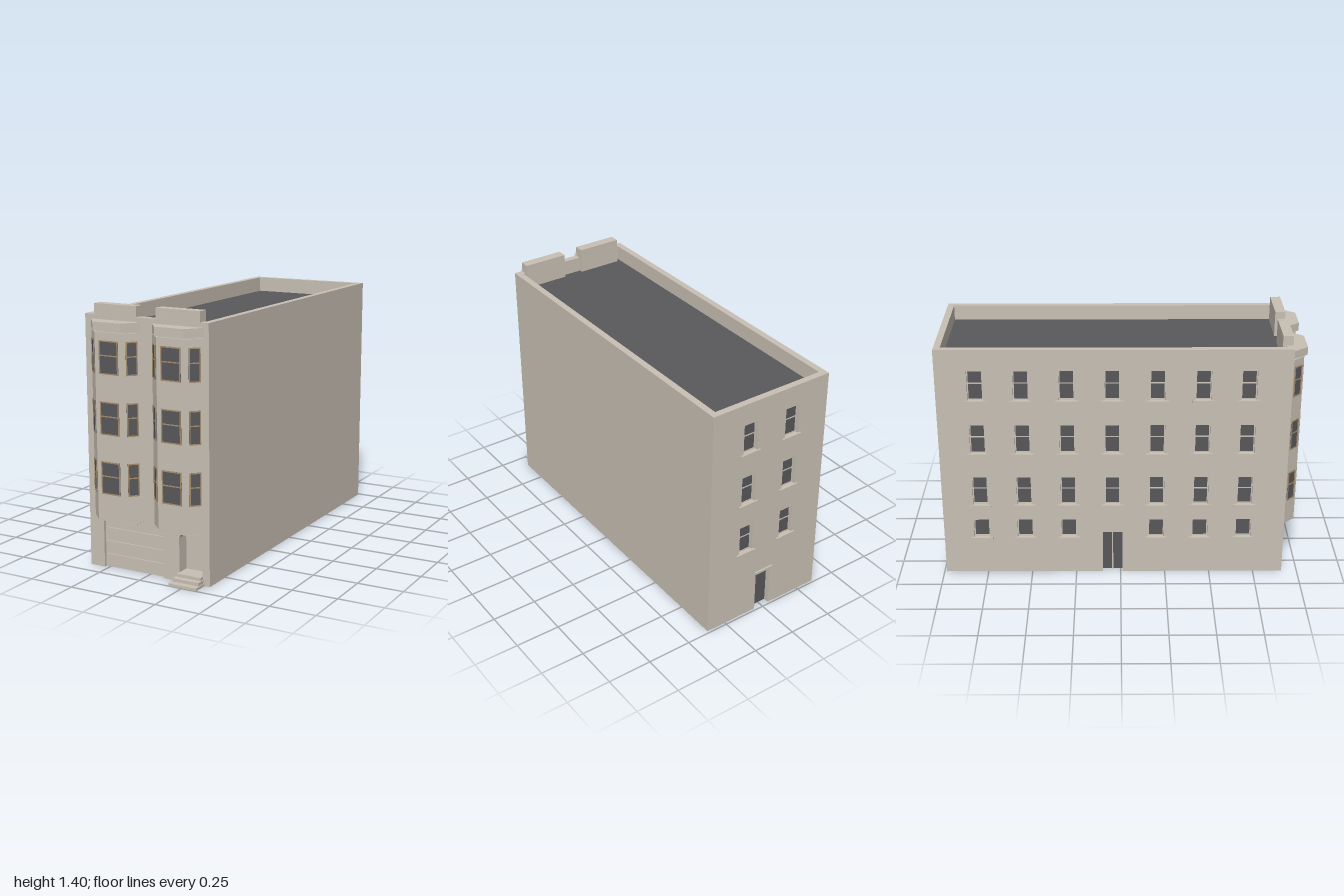
import * as THREE from 'three';

const mat = (name, color) => Object.assign(new THREE.MeshStandardMaterial({ color }), { name });

export function createModel() {
  const stone = mat('stone', 0xc8c0b4);
  const roofGrey = mat('roof grey', 0x59595c);
  const glass = mat('glass', 0x58585b);
  const tan = mat('tan frame', 0xa68d6c);

  const model = new THREE.Group();
  model.name = 'townhouse';
  const X0 = -0.362, X1 = 0.366, Z0 = -0.987, Z1 = 0.913;
  const H = 1.35, T = 0.036, SKIN = 0.022;
  const floors = [0.43, 0.745, 1.06]; // sill heights of the upper storeys

  const add = (parent, name, geo, material, x = 0, y = 0, z = 0) => {
    const m = new THREE.Mesh(geo, material);
    m.name = name;
    m.position.set(x, y, z);
    parent.add(m);
    return m;
  };
  // box given by its minimum and maximum corners
  const box = (parent, name, material, x0, x1, y0, y1, z0, z1) =>
    add(parent, name, new THREE.BoxGeometry(x1 - x0, y1 - y0, z1 - z0), material,
      (x0 + x1) / 2, (y0 + y1) / 2, (z0 + z1) / 2);
  const group = (name, parent = model) => {
    const g = new THREE.Group();
    g.name = name;
    parent.add(g);
    return g;
  };

  // wall sheet: u along the wall, y up, outer face at z = front; doors are notches
  function sheet(parent, name, u0, u1, doors, windows, front, depth) {
    const s = new THREE.Shape();
    s.moveTo(u0, 0);
    for (const d of doors) {
      const r = d.r || 0, b = d.y0 || 0;
      s.lineTo(d.u0, 0);
      s.lineTo(d.u0, d.top - r);
      if (r) s.absarc(d.u0 + r, d.top - r, r, Math.PI, Math.PI / 2, true);
      s.lineTo(d.u1 - r, d.top);
      if (r) s.absarc(d.u1 - r, d.top - r, r, Math.PI / 2, 0, true);
      s.lineTo(d.u1, b);
      s.lineTo(d.u1, 0);
    }
    s.lineTo(u1, 0);
    s.lineTo(u1, H);
    s.lineTo(u0, H);
    for (const w of windows) {
      const p = new THREE.Path();
      p.moveTo(w.u - w.w / 2, w.y);
      p.lineTo(w.u - w.w / 2, w.y + w.h);
      p.lineTo(w.u + w.w / 2, w.y + w.h);
      p.lineTo(w.u + w.w / 2, w.y);
      s.holes.push(p);
    }
    const geo = new THREE.ExtrudeGeometry(s, { depth, bevelEnabled: false, curveSegments: 6 });
    add(parent, name, geo, stone, 0, 0, front - depth);
  }

  // glazing with a border frame and an optional middle rail, on the plane z
  function sash(parent, u, y, w, h, z, frame, rail, f = 0.006) {
    const g = group('window', parent);
    g.position.set(u, y, z);
    box(g, 'windowGlass', glass, -w / 2, w / 2, 0, h, 0, 0.003);
    for (const s of [-1, 1]) {
      const a = s * w / 2, b = s * (w / 2 - f);
      box(g, 'frameStile', frame, Math.min(a, b), Math.max(a, b), 0, h, 0, 0.006);
    }
    const rails = rail ? [0, h * 0.54, h - f] : [0, h - f];
    for (const r of rails) box(g, 'frameRail', frame, -w / 2, w / 2, r, r + f, 0, 0.0055);
  }

  // a full wall: skin with openings, backing sheet, windows with sills
  function wall(name, angle, x, z, u0, u1, doors, windows) {
    const g = group(name);
    g.rotation.y = angle;
    g.position.set(x, 0, z);
    sheet(g, 'wallSkin', u0, u1, doors, windows, 0, SKIN);
    sheet(g, 'wallBacking', u0, u1, doors, [], -SKIN, T - SKIN);
    for (const w of windows) {
      sash(g, w.u, w.y, w.w, w.h, -SKIN, stone, w.rail);
      box(g, 'windowSill', stone, w.u - 0.06, w.u + 0.06, w.y - 0.013, w.y, -0.015, 0.01);
    }
    return g;
  }
  const upper = us => floors.flatMap(y => us.map(u => ({ u, y, w: 0.084, h: 0.17, rail: true })));

  // front wall with garage opening and arched entrance
  const front = wall('frontWall', 0, 0, Z1, X0, X1,
    [{ u0: -0.275, u1: 0.09, top: 0.292 }, { u0: 0.187, u1: 0.323, top: 0.262, r: 0.035 }], []);
  box(front, 'garageBacking', stone, -0.275, 0.09, 0, 0.292, -0.036, -0.024);
  for (let i = 0; i < 4; i++)
    box(front, 'garagePanel', stone, -0.275, 0.09, i * 0.073 + 0.001, i * 0.073 + 0.071, -0.024, -0.016);
  // entrance porch
  box(front, 'entranceDoor', stone, 0.187, 0.323, 0, 0.262, -0.085, -0.07);
  box(front, 'porchSide', stone, 0.175, 0.187, 0, 0.27, -0.085, -0.036);
  box(front, 'porchSide', stone, 0.323, 0.335, 0, 0.27, -0.085, -0.036);
  box(front, 'porchCeiling', stone, 0.175, 0.335, 0.262, 0.274, -0.085, -0.036);
  box(front, 'doorSidelight', glass, 0.311, 0.317, 0.05, 0.24, -0.07, -0.066);
  box(front, 'porchFloor', stone, 0.187, 0.323, 0, 0.048, -0.07, 0);
  // front steps
  [[0.172, 0.335, 0.014, 0.086], [0.177, 0.33, 0.032, 0.052], [0.185, 0.325, 0.049, 0.024]]
    .forEach(([a, b, top, out]) => box(front, 'frontStep', stone, a, b, 0, top, 0, out));

  // side wall with seven bays of windows and a door in the middle
  const zs = Array.from({ length: 7 }, (_, i) => -0.775 + i * 0.2433);
  const ground = zs.filter((_, i) => i !== 3).map(u => ({ u, y: 0.225, w: 0.088, h: 0.11 }));
  const side = wall('rightSideWall', -Math.PI / 2, X0, 0, Z0 + T, Z1 - T,
    [{ u0: -0.1, u1: 0.01, top: 0.255 }], [...upper(zs), ...ground]);
  box(side, 'sideDoor', glass, -0.1, 0.01, 0, 0.255, -T, -0.03);
  box(side, 'sideDoorPost', stone, -0.048, -0.042, 0, 0.255, -0.03, -0.026);

  // rear wall
  const rear = wall('rearWall', Math.PI, 0, Z0, -X1, -X0,
    [{ u0: -0.05, u1: 0.046, top: 0.245 }], upper([-0.13, 0.135]));
  box(rear, 'rearDoor', glass, -0.05, 0.046, 0, 0.245, -T, -0.03);
  box(rear, 'rearDoorLintel', stone, -0.06, 0.056, 0.245, 0.258, -0.01, 0.01);

  // blank party wall
  wall('leftSideWall', Math.PI / 2, X1, 0, -Z1 + T, -Z0 - T, [], []);

  // sunken roof and raised parapet blocks
  box(model, 'roof', roofGrey, X0 + T, X1 - T, 1.25, 1.265, Z0 + T, Z1 - T);
  for (const [a, b] of [[-0.306, -0.052], [0.062, 0.317]])
    box(model, 'parapetBlock', stone, a, b, 1.265, 1.405, 0.856, Z1 - 0.001);

  // bay windows
  const prism = (parent, name, pts, y0, y1) => {
    const geo = new THREE.ExtrudeGeometry(new THREE.Shape(pts.map(p => new THREE.Vector2(...p))),
      { depth: y1 - y0, bevelEnabled: false });
    geo.rotateX(Math.PI / 2);
    add(parent, name, geo, stone, 0, y1, 0);
  };
  // plan outline shrunk by i at the sides and reaching out to z
  const plan = (i, z) => [[-0.149 + i, 0.905], [-0.149 + i, Z1], [-0.083 + i / 2, z],
    [0.083 - i / 2, z], [0.149 - i, Z1], [0.149 - i, 0.905]];
  for (const cx of [-0.177, 0.189]) {
    const bay = group('bayWindow');
    bay.position.x = cx;
    const main = plan(0, 0.98);
    prism(bay, 'bayBody', main, 0.285, 1.272);
    prism(bay, 'bayNeck', plan(0.012, 0.968), 1.27, 1.282);
    prism(bay, 'bayCornice', plan(0, 0.997), 1.28, 1.325);
    prism(bay, 'bayCorbel', plan(0.02, 0.96), 0.273, 0.286);
    prism(bay, 'bayCorbel', plan(0.04, 0.942), 0.262, 0.274);
    for (let k = 1; k < 4; k++) {
      const [a, b] = [main[k], main[k + 1]];
      const face = group('bayFace', bay);
      face.position.set((a[0] + b[0]) / 2, 0, (a[1] + b[1]) / 2);
      face.rotation.y = -Math.atan2(b[1] - a[1], b[0] - a[0]);
      for (const y of floors) sash(face, 0, y - 0.003, k === 2 ? 0.114 : 0.06, 0.173, -0.001, tan, true);
    }
  }
  return model;
}
